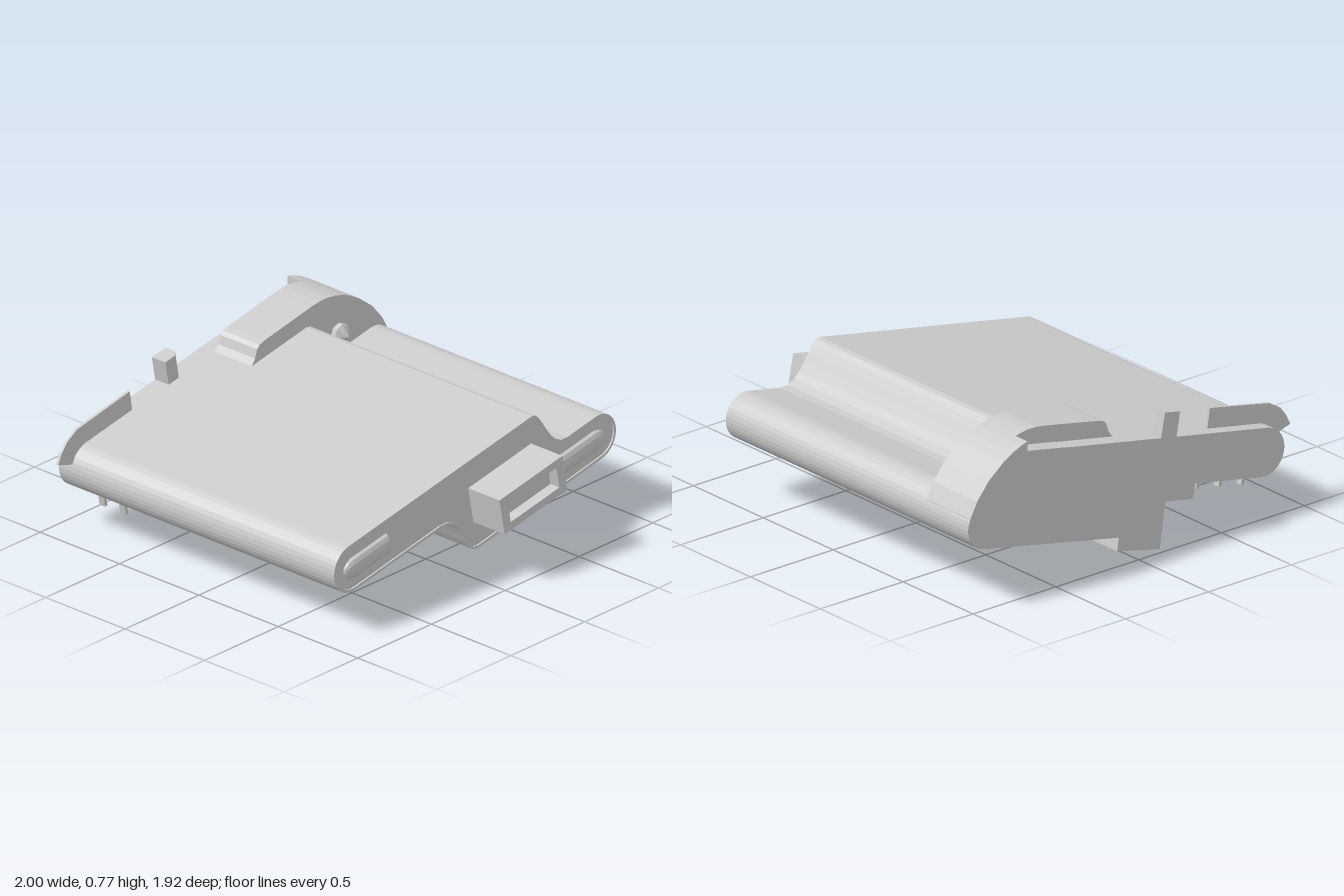
import * as THREE from 'three';

const TILT = 0.188; // slope of the whole body
const BACK = -0.965, FRONT = 0.768;

export function createModel() {
  const model = new THREE.Group();
  const mat = new THREE.MeshStandardMaterial({ color: 0xcccccc, flatShading: true });

  const add = (name, geo, parent = model) => {
    const mesh = new THREE.Mesh(geo, mat);
    mesh.name = name;
    parent.add(mesh);
    return mesh;
  };
  const toShape = pts => new THREE.Shape(pts.map(p => new THREE.Vector2(p[0], p[1])));
  // extrude a front outline between two depths
  const slab = (shape, z0, z1) =>
    new THREE.ExtrudeGeometry(shape, { depth: z1 - z0, bevelEnabled: false, curveSegments: 8 }).translate(0, 0, z0);
  const tilted = (name, x, y, z) => {
    const g = new THREE.Group();
    g.name = name;
    g.position.set(x, y, z);
    g.rotation.z = TILT;
    model.add(g);
    return g;
  };

  // body outline: two offset lobes joined by S-curves
  const outline = inset => {
    const a = -Math.PI / 2 + TILT, b = Math.PI / 2 + TILT;
    const s = new THREE.Shape();
    const n = inset * 0.98, m = inset * 0.19;
    const rl = 0.12 - inset, rr = 0.115 - inset;
    s.moveTo(-0.79 + rl * Math.cos(a), 0.312 + rl * Math.sin(a));
    s.lineTo(-0.19 - m, 0.305 + n);
    s.bezierCurveTo(-0.02 + m, 0.34 + n, -0.04 + m, 0.1 + n, 0.07 - m, 0.12 + n);
    s.lineTo(0.885 + rr * Math.cos(a), 0.4 + rr * Math.sin(a));
    s.absarc(0.885, 0.4, rr, a, b, false);
    s.lineTo(0.67 + m, 0.476 - n);
    s.bezierCurveTo(0.54 - m, 0.45 - n, 0.5 - m, 0.68 - n, 0.43 + m, 0.665 - n);
    s.lineTo(-0.79 + rl * Math.cos(b), 0.312 + rl * Math.sin(b));
    s.absarc(-0.79, 0.312, rl, b, a + 2 * Math.PI, false);
    return s;
  };
  add('body', slab(outline(0), BACK, FRONT - 0.008));
  const rim = outline(0);
  rim.holes.push(new THREE.Path(outline(0.013).getPoints(8)));
  add('frontRim', slab(rim, FRONT - 0.008, FRONT));

  // rear hood, with a notch cut from its back edge
  const arc = [[0.875, 0.62], [0.785, 0.69], [0.73, 0.722], [0.675, 0.745]];
  const right = [[0.9, 0.34], [0.998, 0.41], [0.985, 0.46], [0.945, 0.535], ...arc];
  add('hood', slab(toShape([[0.1, 0.45], ...right, [0.62, 0.76], [0.57, 0.767], [0.52, 0.767], [0.46, 0.758],
    [0.14, 0.695], [0.11, 0.685], [0.094, 0.668], [0.08, 0.625], [0.05, 0.585]]), -0.88, -0.65));
  add('hoodBack', slab(toShape([[0.3, 0.45], ...right, [0.64, 0.754], [0.64, 0.707], [0.4, 0.661]]), BACK, -0.88));

  // pointed stud on the hood
  const stud = new THREE.LatheGeometry(
    [[0.053, 0], [0.053, 0.026], [0, 0.066]].map(p => new THREE.Vector2(...p)), 8);
  add('stud', stud.rotateX(Math.PI / 2).translate(0.645, 0.56, -0.651));

  // blocks under the rear
  add('lowerBlock', slab(toShape([[-0.205, 0.32], [-0.157, 0], [0.1, 0.058], [0.085, 0.16], [0, 0.35]]), BACK, -0.65));
  add('lowerStep', slab(toShape([[-0.372, 0.26], [-0.355, 0.197], [-0.17, 0.231], [-0.17, 0.34], [-0.36, 0.3]]), BACK, -0.65));

  // thin fin above the round end
  add('fin', slab(toShape([[-1, 0.378], [-0.9, 0.347], [-0.75, 0.35], [-0.5, 0.45], [-0.5, 0.492], [-0.515, 0.588],
    [-0.875, 0.515], [-0.94, 0.475], [-0.975, 0.43]]), -0.9, -0.886));

  // peg on top, its front corners chamfered
  const peg = toShape([[-0.047, 0.88], [-0.025, 0.88 - 0.0], [0.02, 0.88], [0.047, 0.905], [0.047, -BACK], [-0.047, -BACK], [-0.047, 0.895]]);
  const pegGeo = slab(peg, 0, 0.16).rotateX(-Math.PI / 2);
  add('peg', pegGeo, tilted('pegMount', -0.205, 0.508, 0));

  // two rows of contact pins below
  for (const z of [-0.82, -0.69]) {
    for (let i = 0; i < 3; i++) {
      const g = tilted('contactPinMount', -0.778 + i * 0.136, 0.19 + i * 0.027, z);
      add('contactPin', new THREE.BoxGeometry(0.016, 0.1, 0.035).translate(0, -0.025, 0), g);
    }
  }

  // front socket: a box with a shallow recess
  const rect = (w, h) => toShape([[-w, -h], [w, -h], [w, h], [-w, h]]);
  const socket = tilted('socket', 0.238, 0.39, 0);
  const frame = rect(0.217, 0.094);
  frame.holes.push(rect(0.168, 0.054));
  add('socketFrame', slab(frame, 0.9, 0.957), socket);
  add('socketBase', slab(rect(0.217, 0.094), 0.74, 0.9), socket);

  // raised half-round bars, each rounded at its outer end
  for (const side of [-1, 1]) {
    const g = tilted('barMount', side < 0 ? -0.545 : 0.63, side < 0 ? 0.353 : 0.345, FRONT - 0.006);
    const profile = [[0, 0], [0.053, 0], [0.053, 0.24], [0.045, 0.268], [0.026, 0.292], [0, 0.3]];
    const geo = new THREE.LatheGeometry(profile.map(p => new THREE.Vector2(...p)), 12)
      .rotateZ(-side * Math.PI / 2).scale(1, 1, 0.5);
    add('bar', geo, g);
  }
  return model;
}
